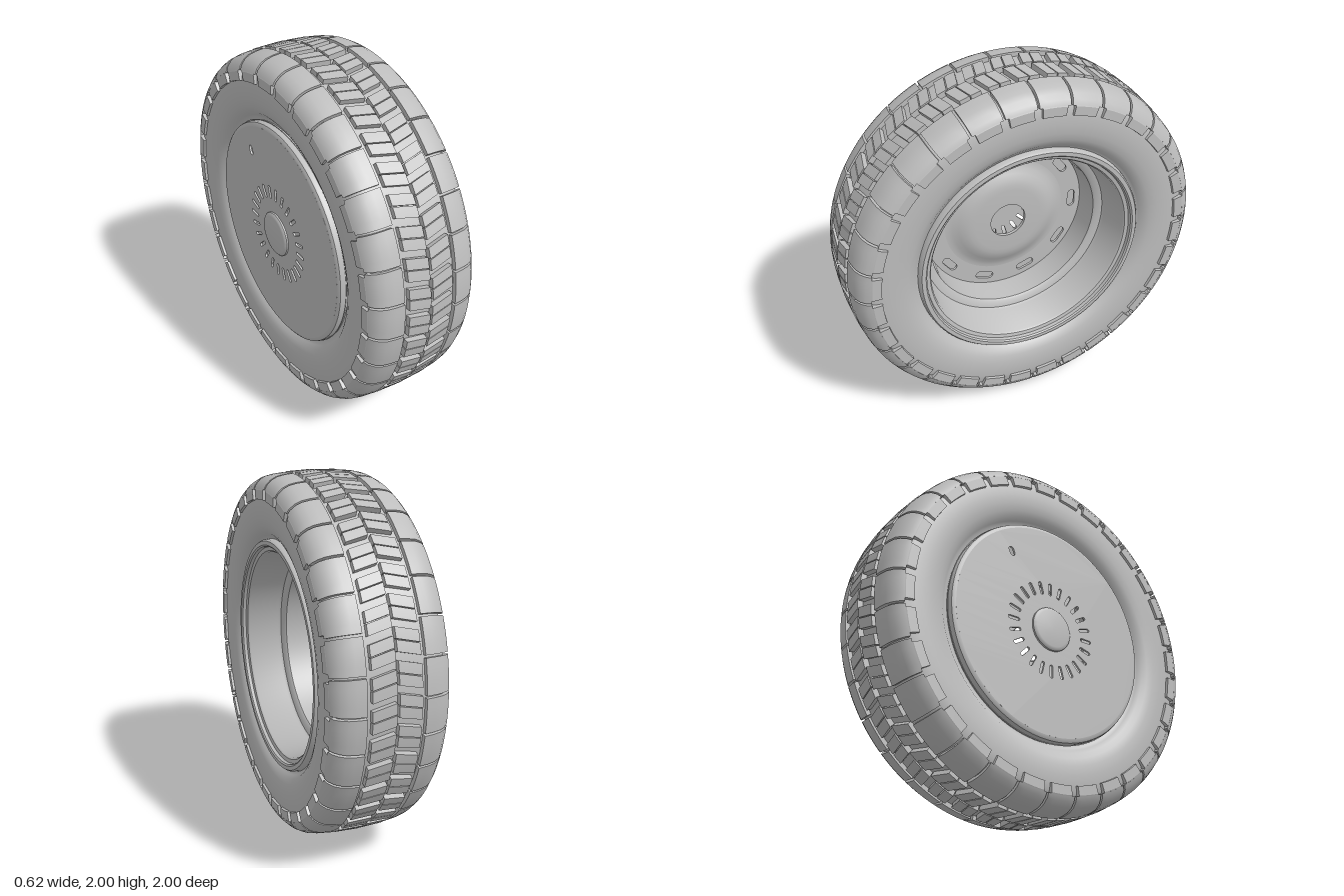
import * as THREE from 'three';
import { mergeGeometries, toCreasedNormals } from 'three/addons/utils/BufferGeometryUtils.js';

const DEG = Math.PI / 180;

// Turned part around the x axis; points are [radius, x], traversed with the outside on the right
function turned(points) {
  const g = new THREE.LatheGeometry(points.map(([r, x]) => new THREE.Vector2(r, x)), 96);
  g.rotateZ(-Math.PI / 2);
  return toCreasedNormals(g, 0.6);
}

// Curved block: a cross-section of [x, radius] swept around the wheel axis, skewed along x
function sweptBlock(section, centre, width, skew = 0, steps = 4) {
  let poly = section.map(([x, r]) => new THREE.Vector2(x, r));
  if (THREE.ShapeUtils.isClockWise(poly)) poly = poly.reverse();
  const at = (i, k) => {
    const p = poly[i];
    const a = centre + width * (k / steps - 0.5) - skew * Math.abs(p.x);
    return [p.x, p.y * Math.cos(a), p.y * Math.sin(a)];
  };
  const v = [];
  for (let k = 0; k < steps; k++) {
    for (let i = 0; i < poly.length; i++) {
      const j = (i + 1) % poly.length;
      v.push(...at(i, k), ...at(j, k), ...at(j, k + 1));
      v.push(...at(i, k), ...at(j, k + 1), ...at(i, k + 1));
    }
  }
  for (const [a, b, c] of THREE.ShapeUtils.triangulateShape(poly, [])) {
    v.push(...at(a, steps), ...at(b, steps), ...at(c, steps));
    v.push(...at(c, 0), ...at(b, 0), ...at(a, 0));
  }
  const g = new THREE.BufferGeometry();
  g.setAttribute('position', new THREE.Float32BufferAttribute(v, 3));
  return toCreasedNormals(g, 0.45);
}

// Rounded slot as a hole, long axis at the given angle
function slotHole(cx, cy, angle, length, width) {
  const h = new THREE.Path(), pts = [];
  const r = width / 2, half = length / 2 - r;
  for (let i = 0; i < 16; i++) {
    const a = (i < 8 ? i / 7 : (i - 1) / 7) * Math.PI - Math.PI / 2;
    const x = Math.cos(a) * r + (i < 8 ? half : -half), y = Math.sin(a) * r;
    pts.push(new THREE.Vector2(
      cx + x * Math.cos(angle) - y * Math.sin(angle),
      cy + x * Math.sin(angle) + y * Math.cos(angle)));
  }
  h.setFromPoints(pts);
  return h;
}

function disc(radius, holes, depth) {
  const s = new THREE.Shape().absarc(0, 0, radius, 0, Math.PI * 2, false);
  s.holes.push(...holes);
  return new THREE.ExtrudeGeometry(s, { depth, bevelEnabled: false, curveSegments: 72 });
}

export function createModel() {
  const model = new THREE.Group();
  const wheel = new THREE.Group();
  wheel.name = 'wheel';
  wheel.position.y = 1;
  model.add(wheel);

  const grey = new THREE.MeshStandardMaterial({ color: 0xbdbdbd, side: THREE.DoubleSide });
  grey.name = 'plain grey';
  const add = (name, geometry) => {
    const m = new THREE.Mesh(geometry, grey);
    m.name = name;
    wheel.add(m);
    return m;
  };

  // Tyre carcass: half profile mirrored across the middle
  const half = [
    [0.62, 0.235], [0.645, 0.24], [0.66, 0.255], [0.68, 0.274], [0.71, 0.288], [0.75, 0.297],
    [0.8, 0.3], [0.85, 0.298], [0.89, 0.292], [0.925, 0.277], [0.95, 0.25], [0.962, 0.21], [0.968, 0.13],
  ];
  add('tyre', turned([
    ...half.map(([r, x]) => [r, -x]), [0.97, 0], ...half.slice().reverse(),
  ]));

  // Shoulder blocks wrapping from the tread onto the sidewall, with a narrower lug below
  for (const side of [1, -1]) {
    const shoulder = [
      [0.152, 0.95], [0.152, 0.991], [0.2, 0.986], [0.24, 0.977], [0.272, 0.96],
      [0.297, 0.935], [0.309, 0.91], [0.28, 0.905], [0.23, 0.94],
    ].map(([x, r]) => [x * side, r]);
    const lug = [
      [0.27, 0.925], [0.3, 0.925], [0.311, 0.905], [0.312, 0.856], [0.285, 0.852],
    ].map(([x, r]) => [x * side, r]);
    const blocks = [], lugs = [];
    for (let i = 0; i < 32; i++) {
      const a = (i + 0.5 + (side < 0 ? 0.3 : 0)) * 11.25 * DEG;
      blocks.push(sweptBlock(shoulder, a, 10.5 * DEG));
      lugs.push(sweptBlock(lug, a, 8.4 * DEG));
    }
    const label = side > 0 ? 'left' : 'right';
    add(label + 'ShoulderBlocks', mergeGeometries(blocks));
    add(label + 'SidewallLugs', mergeGeometries(lugs));

    // Slanted centre blocks, each split by a fine sipe
    const centre = [[0.006, 0.955], [0.128, 0.955], [0.128, 0.995], [0.006, 1]]
      .map(([x, r]) => [x * side, r]);
    const rows = [];
    for (let i = 0; i < 40; i++) {
      const a = (i + (side < 0 ? 0.27 : 0)) * 9 * DEG;
      for (const d of [-1.75, 1.75]) {
        rows.push(sweptBlock(centre, a + d * DEG, 3.2 * DEG, 0.24, 2));
      }
    }
    add(label + 'CentreBlocks', mergeGeometries(rows));
  }

  // Rim: lip on the open side, stepped barrel down to the wheel disc and on to the covered side
  add('rim', turned([
    [0.645, 0.23], [0.64, 0.265], [0.632, 0.275], [0.61, 0.275], [0.602, 0.268], [0.598, 0.25],
    [0.578, 0.245], [0.57, 0.235], [0.55, 0.06], [0.542, 0.045], [0.505, 0.035], [0.495, 0.025],
    [0.482, -0.12], [0.482, -0.15], [0.56, -0.17], [0.59, -0.24], [0.635, -0.25],
  ]));

  // Wheel disc: slotted flat ring with a raised hollow hub
  const slots = [];
  for (let i = 0; i < 10; i++) {
    const a = i * 36 * DEG;
    slots.push(slotHole(Math.cos(a) * 0.425, Math.sin(a) * 0.425, a + Math.PI / 2, 0.112, 0.045));
  }
  const inner = new THREE.Path().absarc(0, 0, 0.36, 0, Math.PI * 2, true);
  const ring = add('wheelDisc', disc(0.486, [...slots, inner], 0.015));
  ring.rotation.y = Math.PI / 2;
  ring.position.x = -0.135;
  add('hubDome', turned([
    [0.362, -0.12], [0.345, -0.118], [0.32, -0.11], [0.29, -0.094], [0.26, -0.079],
    [0.23, -0.071], [0.2, -0.068], [0.105, -0.066], [0.105, -0.085],
  ]));

  // Hub cap: flat cover with a ring of radial vents and a valve opening
  const vents = [slotHole(-0.26, 0.4, 2, 0.055, 0.032)];
  for (let i = 0; i < 24; i++) {
    const a = i * 15 * DEG;
    vents.push(slotHole(Math.cos(a) * 0.245, Math.sin(a) * 0.245, a, 0.075, 0.02));
  }
  const cap = add('hubCap', disc(0.605, vents, 0.012));
  cap.rotation.y = -Math.PI / 2;
  cap.position.x = -0.275;
  add('hubCapEdge', turned([
    [0.604, -0.287], [0.615, -0.285], [0.626, -0.278], [0.63, -0.268], [0.63, -0.235],
  ]));
  add('hubCapButton', turned([
    [0, -0.308], [0.105, -0.306], [0.118, -0.303], [0.125, -0.296], [0.127, -0.28],
  ]));

  return model;
}
